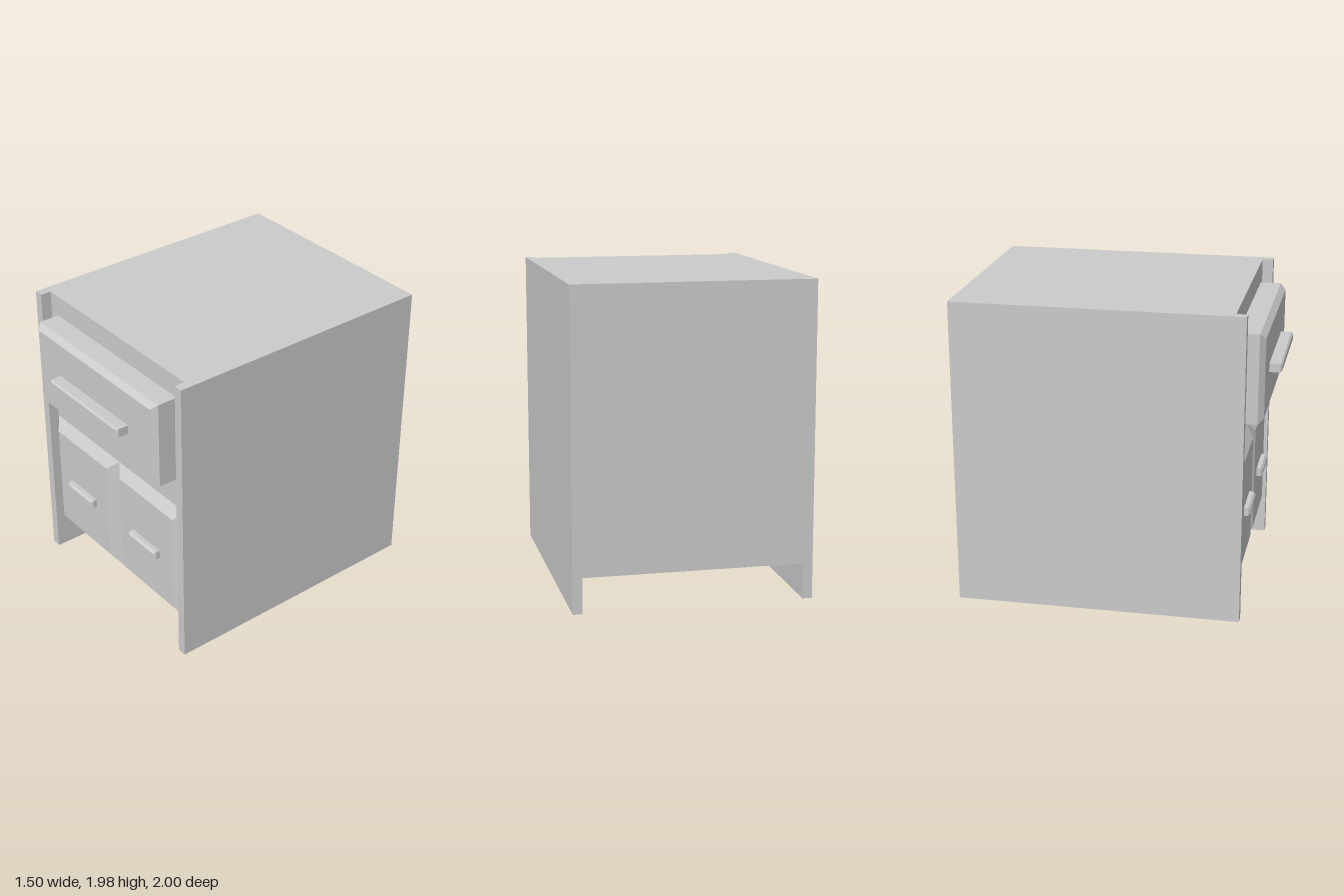
import * as THREE from 'three';

const material = new THREE.MeshStandardMaterial({ color: 0xcccccc, flatShading: true });

function addMesh(parent, name, geometry) {
  const mesh = new THREE.Mesh(geometry, material);
  mesh.name = name;
  parent.add(mesh);
  return mesh;
}

// Plain box given by its limits on each axis
function addBox(parent, name, [x0, x1], [y0, y1], [z0, z1]) {
  const mesh = addMesh(parent, name, new THREE.BoxGeometry(x1 - x0, y1 - y0, z1 - z0));
  mesh.position.set((x0 + x1) / 2, (y0 + y1) / 2, (z0 + z1) / 2);
}

// Box whose front edges slope in by `inset` between zBevel and zFront
function addBevelled(parent, name, [x0, x1], [y0, y1], [zBack, zBevel, zFront], inset) {
  const w = x1 - x0, h = y1 - y0;
  const straight = zBevel > zBack;
  const box = new THREE.BoxGeometry(w, h, 2, 1, 1, straight ? 2 : 1);
  const p = box.attributes.position;
  for (let i = 0; i < p.count; i++) {
    const layer = Math.round(p.getZ(i));
    if (layer === 1) {
      p.setX(i, Math.sign(p.getX(i)) * (w / 2 - inset));
      p.setY(i, Math.sign(p.getY(i)) * (h / 2 - inset));
    }
    p.setZ(i, [zBack, zBevel, zFront][layer + 1]);
  }
  const geometry = box.toNonIndexed();
  geometry.computeVertexNormals();
  addMesh(parent, name, geometry).position.set((x0 + x1) / 2, (y0 + y1) / 2, 0);
}

export function createModel() {
  const model = new THREE.Group();
  model.name = 'bedsideCabinet';

  // Carcass, raised between the two side panels
  addBox(model, 'cabinetBody', [-0.69, 0.69], [0.225, 1.98], [-1, 0.75]);

  // Wide top drawer with its bar handle
  const drawer = new THREE.Group();
  drawer.name = 'drawer';
  addBevelled(drawer, 'drawerFront', [-0.617, 0.617], [1.27, 1.84], [0.75, 0.885, 0.92], 0.034);
  addBevelled(drawer, 'drawerHandle', [-0.357, 0.357], [1.527, 1.583], [0.92, 0.99, 1], 0.01);
  model.add(drawer);

  // Side panels and lower doors, mirrored left and right
  for (const [side, s] of [['left', 1], ['right', -1]]) {
    const span = (a, b) => (s > 0 ? [a, b] : [-b, -a]);
    addBox(model, side + 'SidePanel', span(0.69, 0.75), [0, 1.98], [-1, 0.82]);

    const door = new THREE.Group();
    door.name = side + 'Door';
    addBevelled(door, side + 'DoorPanel', span(0, 0.69), [0.225, 1.053], [0.75, 0.75, 0.802], 0.07);
    addBevelled(door, side + 'DoorHandle', span(0.203, 0.483), [0.61, 0.664], [0.802, 0.83, 0.844], 0.014);
    model.add(door);
  }
  return model;
}
